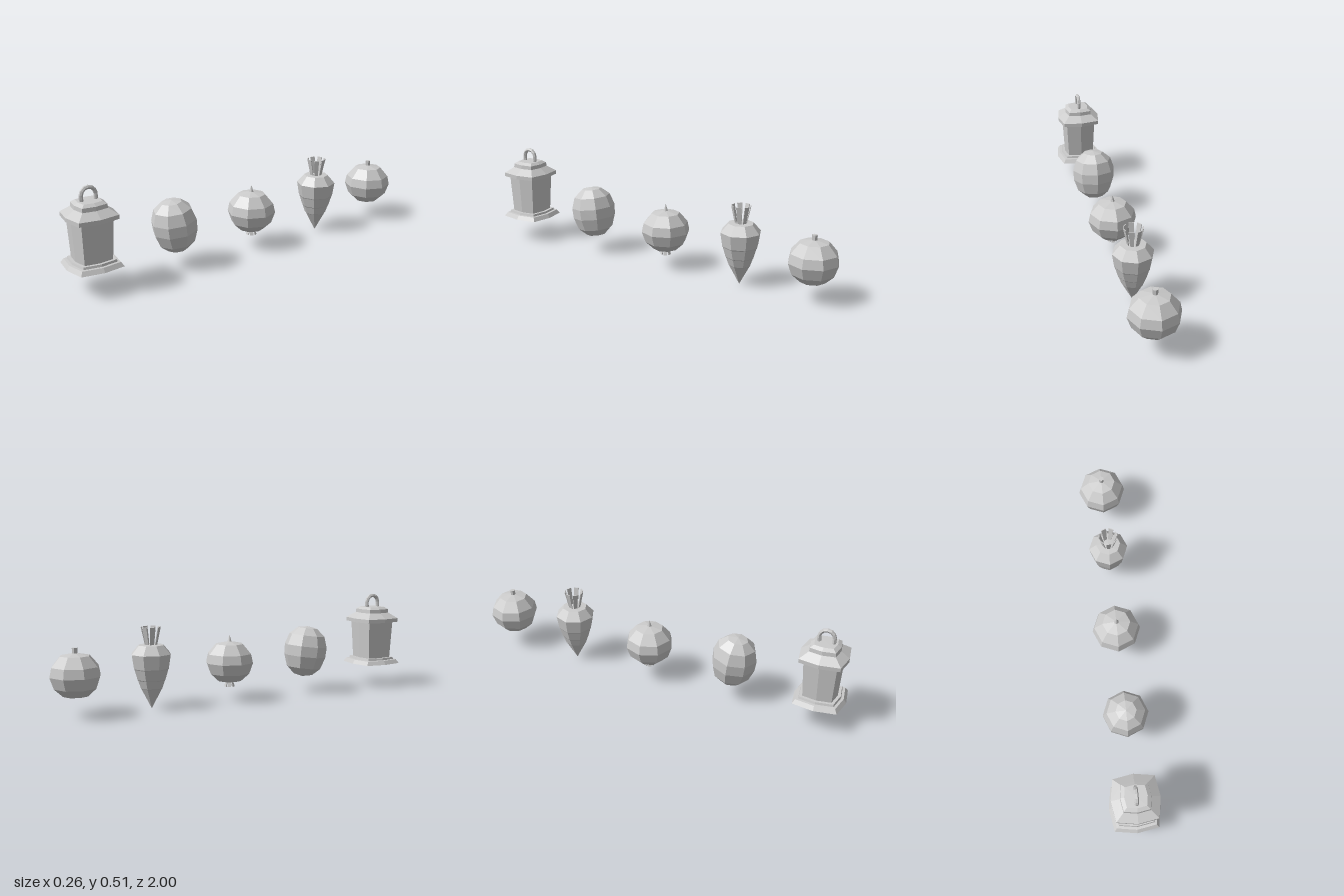
import * as THREE from 'three';

const grey = new THREE.MeshStandardMaterial({ color: 0xcccccc, flatShading: true });
const greyThin = new THREE.MeshStandardMaterial({ color: 0xcccccc, flatShading: true, side: THREE.DoubleSide });

function add(parent, name, geometry, material = grey) {
  const mesh = new THREE.Mesh(geometry, material);
  mesh.name = name;
  parent.add(mesh);
  return mesh;
}

function group(parent, name, y, z) {
  const g = new THREE.Group();
  g.name = name;
  g.position.set(0, y, z);
  parent.add(g);
  return g;
}

// Eight-sided turned solid; profile is [radius, height] from bottom to top
function turned(profile) {
  return new THREE.LatheGeometry(profile.map(([r, y]) => new THREE.Vector2(r, y)), 8);
}

// Turned solid with its diagonal vertices pushed out into a bulging square
function bulgedSquare(profile) {
  const geo = turned(profile);
  const p = geo.attributes.position;
  for (let i = 0; i < p.count; i++) {
    const x = p.getX(i), z = p.getZ(i);
    if (Math.abs(x) > 1e-4 && Math.abs(z) > 1e-4) p.setXYZ(i, x * 1.21, p.getY(i), z * 1.21);
  }
  geo.computeVertexNormals();
  return geo;
}

// Ring of thin flat blades leaning outward
function bladeRing(parent, name, count, [r0, y0], [r1, y1], width, tipWidth) {
  for (let i = 0; i < count; i++) {
    const geo = new THREE.BoxGeometry(1, 1, 0.004);
    const p = geo.attributes.position;
    for (let k = 0; k < p.count; k++) {
      const t = p.getY(k) + 0.5;
      p.setXYZ(k, p.getX(k) * THREE.MathUtils.lerp(width, tipWidth, t),
        THREE.MathUtils.lerp(y0, y1, t), THREE.MathUtils.lerp(r0, r1, t) + p.getZ(k));
    }
    add(parent, name, geo, greyThin).rotation.y = (i / count) * Math.PI * 2;
  }
}

function roundFruitBody() {
  return turned([[0, -0.108], [0.062, -0.099], [0.105, -0.06], [0.125, -0.004],
    [0.115, 0.042], [0.072, 0.092], [0, 0.106]]);
}

function addLantern(root) {
  const g = group(root, 'lantern', 0, 0.869);
  add(g, 'lanternBase', bulgedSquare([[0, 0.125], [0.129, 0.125], [0.115, 0.146],
    [0.102, 0.147], [0.099, 0.158], [0, 0.158]]));
  add(g, 'lanternBody', bulgedSquare([[0.084, 0.155], [0.095, 0.36]]));
  add(g, 'lanternRoof', bulgedSquare([[0, 0.358], [0.118, 0.358], [0.118, 0.378], [0.075, 0.408],
    [0.073, 0.428], [0.055, 0.44], [0, 0.441]]));
  // Arched carrying handle
  const path = new THREE.CatmullRomCurve3([[-0.034, 0.432], [-0.037, 0.468], [-0.024, 0.495],
    [0, 0.503], [0.024, 0.495], [0.037, 0.468], [0.034, 0.432]].map(([z, y]) => new THREE.Vector3(0, y, z)));
  add(g, 'lanternHandle', new THREE.TubeGeometry(path, 10, 0.01, 6));
}

function addOvalFruit(root) {
  const g = group(root, 'ovalFruit', 0.22, 0.418);
  g.rotation.x = 0.12;
  add(g, 'ovalFruitBody', turned([[0, -0.137], [0.052, -0.125], [0.092, -0.088], [0.113, -0.025],
    [0.115, 0.03], [0.096, 0.088], [0.052, 0.126], [0, 0.135]]));
}

function addCrownedFruit(root) {
  const g = group(root, 'crownedFruit', 0.2, -0.05);
  add(g, 'crownedFruitBody', roundFruitBody());
  add(g, 'crownedFruitStem', new THREE.ConeGeometry(0.014, 0.04, 6)).position.y = 0.119;
  bladeRing(g, 'crownedFruitCalyx', 6, [0.014, -0.1], [0.024, -0.13], 0.014, 0.018);
}

function addRoot(root) {
  const g = group(root, 'rootVegetable', 0, -0.488);
  // Tapered body with shallow growth ridges
  add(g, 'rootBody', turned([[0, 0], [0.053, 0.1], [0.056, 0.103], [0.07, 0.143], [0.073, 0.147],
    [0.088, 0.197], [0.091, 0.202], [0.102, 0.272], [0.064, 0.316], [0, 0.32]]));
  bladeRing(g, 'rootLeafStalk', 7, [0.026, 0.31], [0.046, 0.405], 0.018, 0.026);
}

function addRoundFruit(root) {
  const g = group(root, 'roundFruit', 0.2, -0.875);
  add(g, 'roundFruitBody', roundFruitBody());
  add(g, 'roundFruitStem', new THREE.CylinderGeometry(0.014, 0.013, 0.034, 6)).position.y = 0.112;
}

export function createModel() {
  const root = new THREE.Group();
  root.name = 'lanternAndProduceRow';
  addLantern(root);
  addOvalFruit(root);
  addCrownedFruit(root);
  addRoot(root);
  addRoundFruit(root);
  return root;
}
